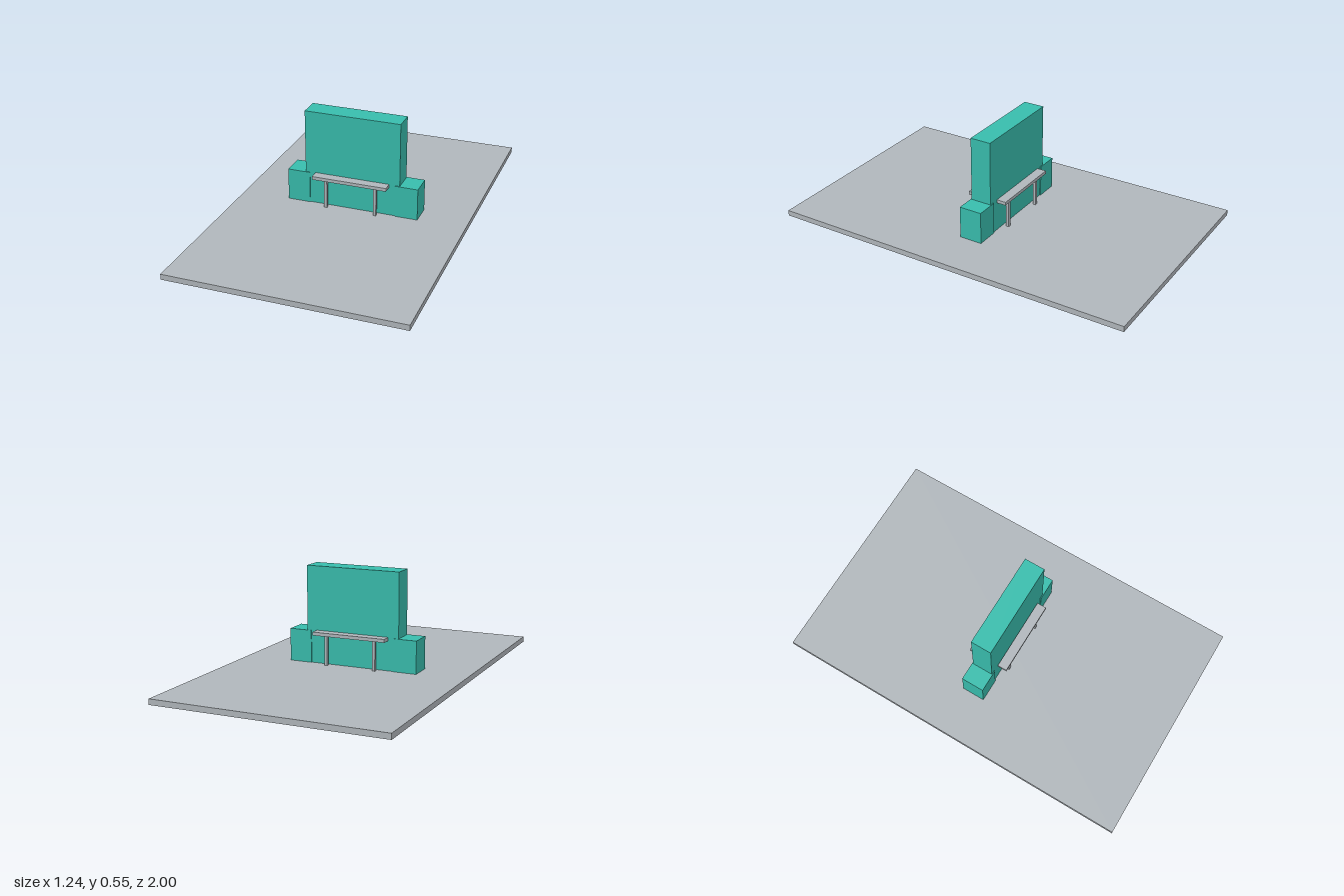
import * as THREE from 'three';

export function createModel() {
  const model = new THREE.Group();
  model.name = 'wallWithBenches';

  const grey = new THREE.MeshStandardMaterial({ color: 0xb0b6bb });
  grey.name = 'concrete grey';
  const teal = new THREE.MeshStandardMaterial({ color: 0x38bcac });
  teal.name = 'teal';

  // Box centred on x and z, given by its lower and upper heights
  function addBox(parent, name, material, width, depth, y0, y1, x = 0, z = 0) {
    const mesh = new THREE.Mesh(new THREE.BoxGeometry(width, y1 - y0, depth), material);
    mesh.name = name;
    mesh.position.set(x, (y0 + y1) / 2, z);
    parent.add(mesh);
  }

  const floor = 0.03;

  // Ground slab
  addBox(model, 'baseSlab', grey, 1.244, 2, 0, floor);

  // Tall wall, sunk a little into the slab
  addBox(model, 'tallWall', teal, 0.524, 0.114, 0.005, 0.553);

  // Low blocks wrapping the wall ends
  for (const side of [-1, 1]) {
    addBox(model, side > 0 ? 'leftEndBlock' : 'rightEndBlock', teal,
      0.124, 0.125, floor, 0.205, side * 0.3, 0);
  }

  // One bench on each face of the wall
  for (const side of [-1, 1]) {
    const bench = new THREE.Group();
    bench.name = side > 0 ? 'frontBench' : 'backBench';
    bench.position.z = side * 0.086;
    addBox(bench, 'seat', grey, 0.41, 0.052, 0.191, 0.209);
    for (const x of [-0.137, 0.137]) {
      addBox(bench, 'leg', grey, 0.016, 0.016, floor, 0.191, x);
    }
    model.add(bench);
  }

  return model;
}
